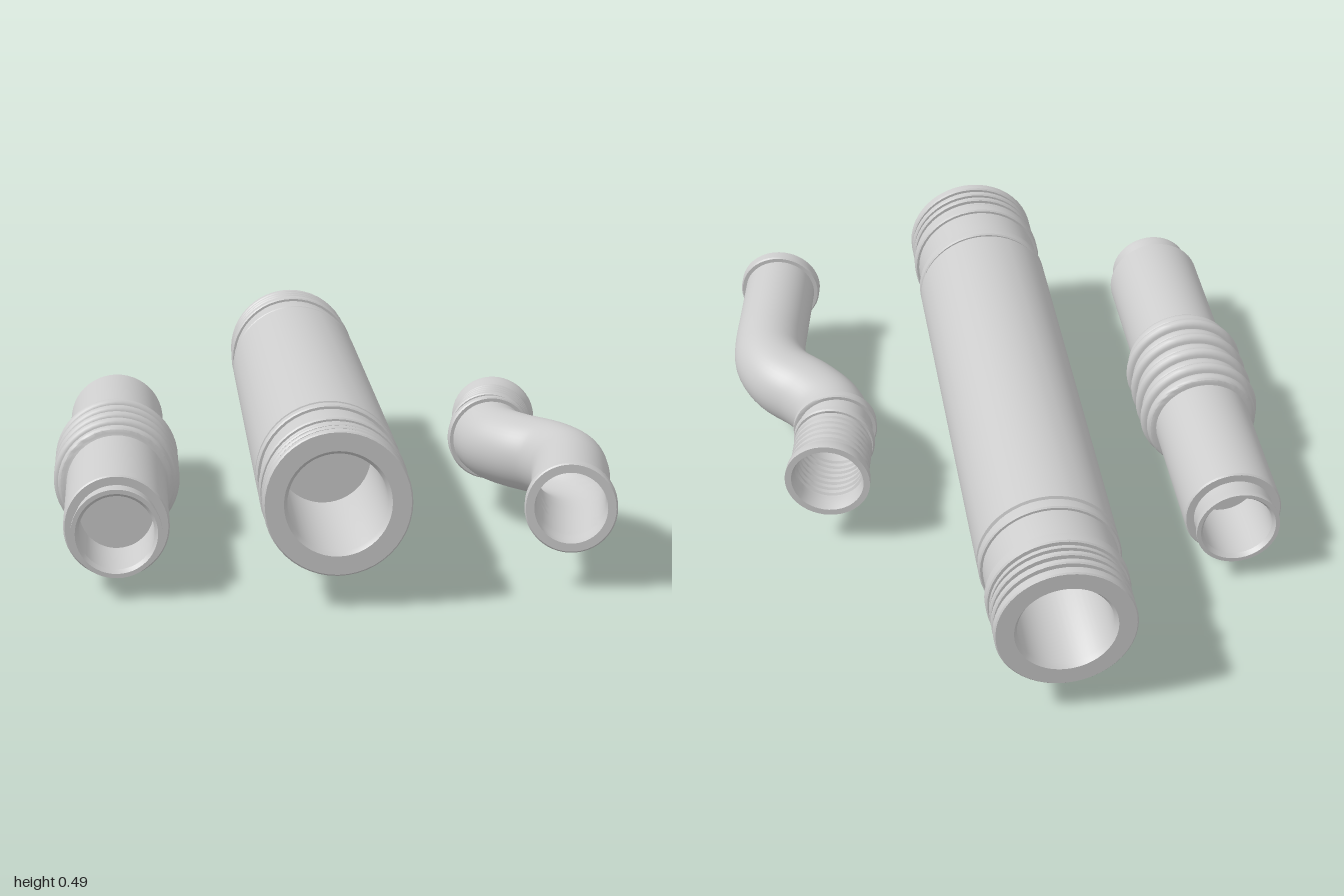
import * as THREE from 'three';
import { toCreasedNormals } from 'three/addons/utils/BufferGeometryUtils.js';

const SEG = 48;
const material = new THREE.MeshStandardMaterial({ color: 0xcccccc });

function finish(geometry, name) {
  const mesh = new THREE.Mesh(toCreasedNormals(geometry, 0.6), material);
  mesh.name = name;
  return mesh;
}

// Turned part lying along z; profile is [radius, z] from back to front
function turned(profile, name, x, y) {
  const points = profile.map(([r, z]) => new THREE.Vector2(r, z));
  const geometry = new THREE.LatheGeometry(points, SEG).rotateX(Math.PI / 2);
  const mesh = finish(geometry, name);
  mesh.position.set(x, y, 0);
  return mesh;
}

// Round section swept along a level curve; profile is [radius, distance]
function swept(curve, profile, name) {
  const length = curve.getLength();
  const up = new THREE.Vector3(0, 1, 0);
  const positions = [], index = [];
  profile.forEach(([r, s], i) => {
    const u = THREE.MathUtils.clamp(s / length, 0, 1);
    const c = curve.getPointAt(u);
    const side = up.clone().cross(curve.getTangentAt(u)).normalize();
    for (let j = 0; j < SEG; j++) {
      const a = (j / SEG) * Math.PI * 2;
      const p = c.clone().addScaledVector(side, r * Math.cos(a)).addScaledVector(up, r * Math.sin(a));
      positions.push(p.x, p.y, p.z);
      if (i === profile.length - 1) continue;
      const p0 = i * SEG + j, p1 = i * SEG + (j + 1) % SEG;
      index.push(p0, p1, p0 + SEG, p1, p1 + SEG, p0 + SEG);
    }
  });
  const geometry = new THREE.BufferGeometry();
  geometry.setAttribute('position', new THREE.Float32BufferAttribute(positions, 3));
  geometry.setIndex(index);
  return finish(geometry, name);
}

// Raised band with small bevels, as profile points
function band(r, base, from, to, bevel = 0.004) {
  return [[base, from], [r - bevel, from], [r, from + bevel], [r, to - bevel], [r - bevel, to], [base, to]];
}

// Large straight pipe, its two ends mirrored
function largePipe() {
  const end = [
    [0.204, 0.672], [0.196, 0.675], [0.196, 0.683],
    ...band(0.204, 0.193, 0.685, 0.72),
    ...band(0.204, 0.185, 0.83, 0.868).map(([r, z], i) => (i === 0 ? [0.193, z] : [r, z])),
    ...band(0.197, 0.183, 0.876, 0.888, 0.002),
    ...band(0.2, 0.183, 0.902, 0.92),
    ...band(0.2, 0.183, 0.935, 0.955),
    ...band(0.2, 0.145, 0.97, 1).map(([r, z], i) => (i === 0 ? [0.183, z] : [r, z])),
    [0.135, 0.985], [0.135, 0.5], [0, 0.5],
  ];
  const back = end.map(([r, z]) => [r, -z]).reverse();
  return turned([...back, ...end], 'largePipe', -0.025, 0.296);
}

// Medium pipe with a bellows round its middle
function bellowsPipe() {
  const profile = [
    [0, -0.3], [0.103, -0.3], [0.103, -0.505], [0.112, -0.518],
    [0.124, -0.518], [0.124, -0.505], [0.118, -0.485], [0.118, -0.445],
    [0.141, -0.445], [0.145, -0.44], [0.145, 0],
  ];
  // Alternating small and large rounded folds
  for (let i = 0; i < 9; i++) {
    const r = i % 2 ? 0.183 : 0.17;
    for (let k = 0; k <= 8; k++) {
      const a = (k / 8) * Math.PI;
      profile.push([0.152 + (r - 0.152) * Math.sin(a) ** 0.6, 0.02 + 0.0398 * i - 0.019 * Math.cos(a)]);
    }
  }
  profile.push(
    [0.145, 0.36], [0.145, 0.8], [0.141, 0.805], [0.118, 0.805], [0.118, 0.84],
    [0.124, 0.862], [0.124, 0.876], [0.112, 0.876], [0.103, 0.863], [0.103, 0.66], [0, 0.66],
  );
  return turned(profile, 'bellowsPipe', -0.614, 0.19);
}

// Open S-shaped hose with a collar in front and a ribbed sleeve behind
function bentHose() {
  const path = [
    [0.62, 0.885], [0.643, 0.75], [0.662, 0.64], [0.68, 0.53], [0.683, 0.44], [0.65, 0.345],
    [0.574, 0.25], [0.523, 0.16], [0.513, 0.07], [0.53, -0.03], [0.545, -0.11], [0.56, -0.186],
  ].map(([x, z]) => new THREE.Vector3(x, 0.238, z));
  const curve = new THREE.CatmullRomCurve3(path, false, 'centripetal');
  curve.arcLengthDivisions = 600;
  const L = curve.getLength();

  const outer = [[0.1, 0], ...band(0.127, 0.111, 0, 0.038).slice(1)];
  const inner = [[0.1, 0.04], [0.1, 0]];
  const bendStart = 0.06, bendEnd = L - 0.3;
  for (let i = 0; i <= 36; i++) {
    const s = bendStart + (bendEnd - bendStart) * (i / 36);
    outer.push([0.111, s]);
    inner.unshift([0.096, s]);
  }
  // Two collars, then fine ribs, then the flared rim
  outer.push(...band(0.127, 0.113, L - 0.282, L - 0.255));
  outer.push(...band(0.123, 0.112, L - 0.212, L - 0.19));
  for (let i = 0; i < 5; i++) {
    const s = L - 0.172 + i * 0.026;
    outer.push([0.112, s - 0.007], [0.118, s - 0.003], [0.118, s + 0.005], [0.112, s + 0.009]);
  }
  outer.push([0.113, L - 0.05], [0.126, L - 0.03], [0.127, L]);
  // Bore of the sleeve carries matching grooves
  for (let i = 0; i < 7; i++) {
    const s = L - 0.22 + i * 0.026;
    inner.unshift([0.104, s + 0.009], [0.104, s + 0.001], [0.097, s - 0.003], [0.097, s - 0.01]);
  }
  const grooves = inner.splice(0, 28);
  grooves.sort((a, b) => b[1] - a[1]);
  return swept(curve, [...outer, [0.108, L], [0.1, L - 0.03], ...grooves, ...inner], 'bentHose');
}

export function createModel() {
  const group = new THREE.Group();
  group.name = 'pipeSet';
  group.add(largePipe(), bellowsPipe(), bentHose());
  return group;
}
